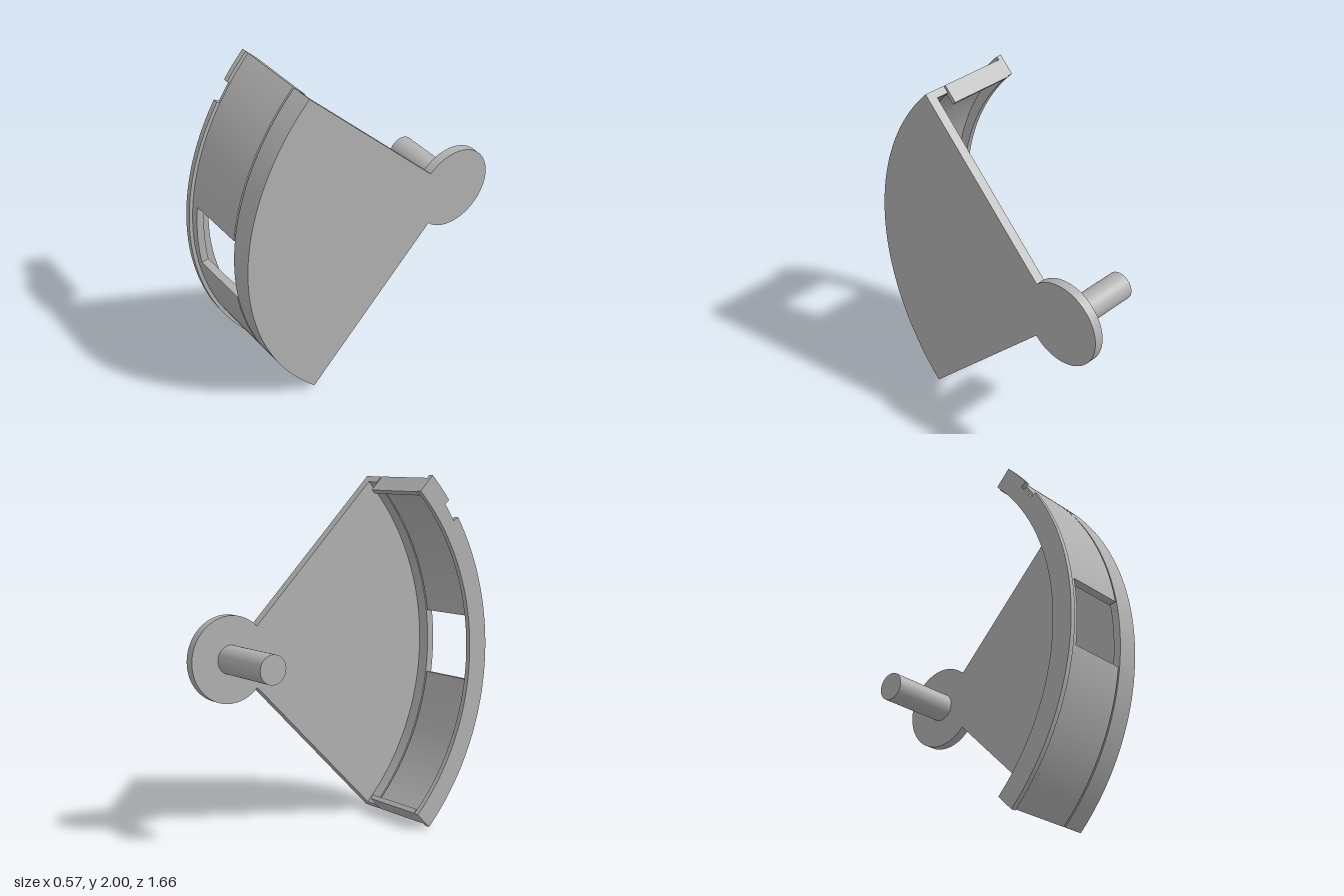
import * as THREE from 'three';
import { toCreasedNormals } from 'three/addons/utils/BufferGeometryUtils.js';

const PIVOT_Y = 1, PIVOT_Z = -0.585; // common centre of every arc
const HALF = Math.PI / 4;            // the sector spans 45 degrees each way
const R_IN = 1.35, R_OUT = 1.393;    // thin curved wall

export function createModel() {
  const model = new THREE.Group();
  const grey = new THREE.MeshStandardMaterial({ color: 0xb2b2b2 });
  grey.name = 'plain grey';

  // Extrude a side profile (shape x = z, shape y = y) from x0 to x1
  function addProfile(name, shape, x0, x1) {
    const raw = new THREE.ExtrudeGeometry(shape, { depth: x1 - x0, bevelEnabled: false, curveSegments: 64 });
    raw.rotateY(-Math.PI / 2);
    raw.translate(x1, PIVOT_Y, PIVOT_Z);
    const mesh = new THREE.Mesh(toCreasedNormals(raw, 0.5), grey);
    mesh.name = name;
    model.add(mesh);
  }

  // Ring segment between two radii and two angles
  function arcShape(r0, r1, a0, a1) {
    const s = new THREE.Shape();
    s.absarc(0, 0, r1, a0, a1, false);
    s.absarc(0, 0, r0, a1, a0, true);
    return s;
  }

  // Side plate: wide sector joined to a round hub
  const plate = new THREE.Shape();
  plate.absarc(0, 0, R_OUT, -HALF, HALF, false);
  plate.absarc(0, 0, 0.245, HALF, 2 * Math.PI - HALF, false);
  addProfile('sidePlate', plate, 0.23, 0.285);

  // Rim standing on the plate's curved edge
  addProfile('plateRim', arcShape(R_IN, R_OUT, -HALF, HALF), 0.155, 0.23);

  // Curved wall, separated from the rim by a narrow gap, with a window in the middle
  const windowAngle = Math.asin(0.193 / R_OUT);
  const lipAngle = 0.03 / R_IN;
  addProfile('wallStrip', arcShape(R_IN, R_OUT, -HALF, HALF), -0.255, -0.21);
  addProfile('upperWall', arcShape(R_IN, R_OUT, windowAngle, HALF), -0.21, 0.145);
  addProfile('lowerWall', arcShape(R_IN, R_OUT, -HALF, -windowAngle), -0.21, 0.145);

  // Inward lips at both ends of the wall
  addProfile('upperLip', arcShape(1.287, R_IN, HALF - lipAngle, HALF), -0.255, 0.145);
  addProfile('lowerLip', arcShape(1.287, R_IN, -HALF, -HALF + lipAngle), -0.255, 0.145);

  // Outer flange with a notch near the top
  const notch0 = THREE.MathUtils.degToRad(32.7), notch1 = THREE.MathUtils.degToRad(37.5);
  const flange = new THREE.Shape();
  flange.absarc(0, 0, 1.414, -HALF, notch0, false);
  flange.absarc(0, 0, 1.378, notch0, notch1, false);
  flange.absarc(0, 0, 1.414, notch1, HALF, false);
  flange.absarc(0, 0, 1.293, HALF, -HALF, true);
  addProfile('notchedFlange', flange, -0.285, -0.255);

  // Pivot pin on the hub
  const pin = new THREE.Mesh(new THREE.CylinderGeometry(0.082, 0.082, 0.42, 48), grey);
  pin.name = 'pivotPin';
  pin.rotation.z = Math.PI / 2;
  pin.position.set(0.02, PIVOT_Y, PIVOT_Z);
  model.add(pin);

  return model;
}
